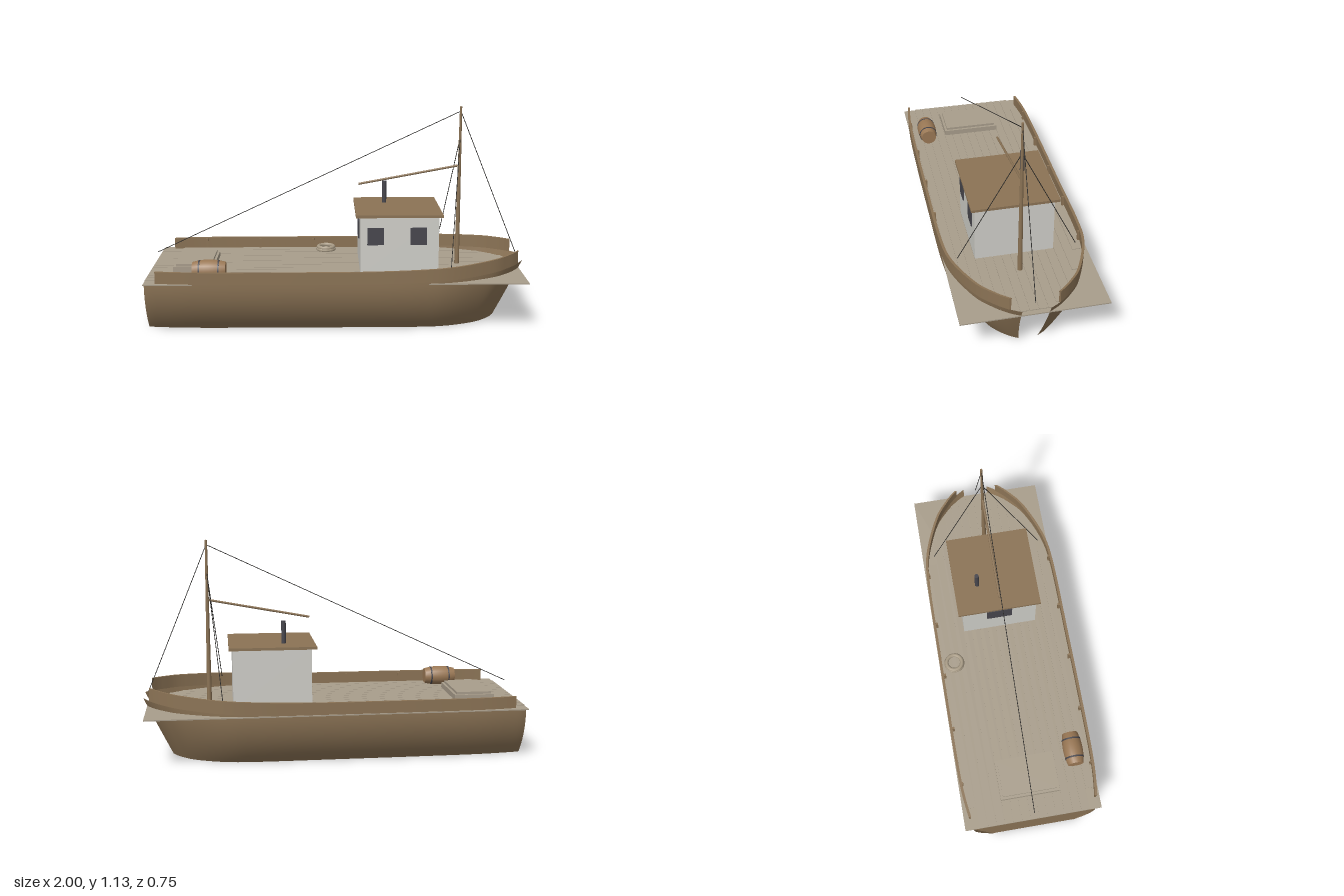
import * as THREE from 'three';
import { toCreasedNormals } from 'three/addons/utils/BufferGeometryUtils.js';

const DECK = 0.272;

function mat(name, color) {
  const m = new THREE.MeshStandardMaterial({ color, side: THREE.DoubleSide });
  m.name = name;
  return m;
}

// Skin a row of cross-sections; flip reverses the facing for the mirrored side
function loft(sections, closed, flip) {
  const n = sections[0].length, pos = [], idx = [];
  const tri = (a, b, c) => (flip ? idx.push(a, c, b) : idx.push(a, b, c));
  sections.forEach(s => s.forEach(p => pos.push(...p)));
  for (let i = 0; i < sections.length - 1; i++) {
    for (let j = 0; j < (closed ? n : n - 1); j++) {
      const k = (j + 1) % n, a = i * n + j, b = a + n, c = (i + 1) * n + k, d = i * n + k;
      tri(a, b, c);
      tri(a, c, d);
    }
  }
  if (closed) {
    const e = (sections.length - 1) * n;
    for (let j = 1; j < n - 1; j++) {
      tri(0, j, j + 1);
      tri(e, e + j + 1, e + j);
    }
  }
  const g = new THREE.BufferGeometry();
  g.setAttribute('position', new THREE.Float32BufferAttribute(pos, 3));
  g.setIndex(idx);
  g.computeVertexNormals();
  return closed ? toCreasedNormals(g, 0.6) : g;
}

// Half-breadth of the hull along its length
const plan = new THREE.SplineCurve([
  [-1, 0.33], [-0.94, 0.345], [-0.75, 0.365], [-0.4, 0.37], [0, 0.37], [0.4, 0.368],
  [0.6, 0.345], [0.8, 0.265], [0.9, 0.19], [0.96, 0.125], [0.995, 0.07],
].map(p => new THREE.Vector2(...p))).getPoints(80);

const sheer = x => DECK + 0.042 * Math.max(0, x) ** 2;
const railTop = x => sheer(x) + 0.062 + 0.006 * Math.max(0, x);

export function createModel() {
  const boat = new THREE.Group();
  boat.name = 'fishingBoat';
  const wood = mat('hullWood', 0x8b7355);
  const deckWood = mat('deckWood', 0xa89d8b);
  const paint = mat('cabinPaint', 0xd0cfc9);
  const dark = mat('darkMetal', 0x47464d);
  const oak = mat('barrelOak', 0x9a7855);
  const rope = mat('coiledRope', 0xa99c86);
  const line = mat('riggingLine', 0x2b2a28);

  const add = (name, geo, m, x = 0, y = 0, z = 0, parent = boat) => {
    const mesh = new THREE.Mesh(geo, m);
    mesh.name = name;
    mesh.position.set(x, y, z);
    parent.add(mesh);
    return mesh;
  };
  const box = (name, m, x0, x1, y0, y1, z0, z1) => add(name,
    new THREE.BoxGeometry(x1 - x0, y1 - y0, z1 - z0), m, (x0 + x1) / 2, (y0 + y1) / 2, (z0 + z1) / 2);
  // Round spar or line between two points
  const spar = (name, m, a, b, r0, r1, sides = 8) => {
    const p = new THREE.Vector3(...a), q = new THREE.Vector3(...b), d = q.clone().sub(p);
    const mesh = add(name, new THREE.CylinderGeometry(r1, r0, d.length(), sides), m);
    mesh.position.copy(p).add(q).multiplyScalar(0.5);
    mesh.quaternion.setFromUnitVectors(new THREE.Vector3(0, 1, 0), d.normalize());
  };

  for (const s of [1, -1]) {
    const side = s > 0 ? 'left' : 'right';
    // Hull side: round bilge, raked at the open bow
    const sections = plan.map(p => {
      const rake = 0.15 * Math.max(0, (p.x - 0.2) / 0.8) ** 2;
      return Array.from({ length: 15 }, (_, j) => {
        const v = j / 14;
        return [p.x - rake * (1 - v), sheer(p.x) * v, s * p.y * (1 - 0.31 * (1 - v) ** 2.2)];
      });
    });
    add(side + 'HullSide', loft(sections, false, s < 0), wood);

    // Bulwark and its cap rail
    const run = plan.filter(p => p.x > -0.945 && p.x < 0.965);
    const strip = (inner, outer, low, high) => loft(run.map(p => {
      const zo = s * (p.y + outer), zi = s * (p.y - inner), a = low(p.x), b = high(p.x);
      return [[p.x, a, zo], [p.x, b, zo], [p.x, b, zi], [p.x, a, zi]];
    }), true, s < 0);
    add(side + 'Bulwark', strip(0.009, 0, x => sheer(x) - 0.002, x => railTop(x) - 0.006), wood);
    add(side + 'CapRail', strip(0.012, 0.002, x => railTop(x) - 0.006, railTop), wood);

    // Bulwark posts
    for (let i = 0; i < 5; i++) {
      const x = -0.755 + i * 0.308;
      box(side + 'BulwarkPost', wood, x - 0.006, x + 0.006, DECK, DECK + 0.055, s * 0.354 - 0.007, s * 0.354 + 0.007);
    }
    spar(side + 'Shroud', line, [0.65, 0.97, 0], [0.58, 0.34, s * 0.305], 0.002, 0.002, 5);
  }

  // Flat transom
  const tr = new THREE.Shape([[-0.33, DECK], [-0.228, 0], [0.228, 0], [0.33, DECK]].map(p => new THREE.Vector2(...p)));
  add('transom', new THREE.ShapeGeometry(tr), wood, -0.999).rotation.y = -Math.PI / 2;

  // Deck plate and raised planks trimmed to the hull outline
  box('deck', deckWood, -1, 0.975, DECK - 0.006, DECK, -0.375, 0.365);
  for (let i = -7; i <= 7; i++) {
    const z = i * 0.046;
    const inside = plan.filter(p => p.y > Math.abs(z) + 0.03);
    const x0 = inside[0].x, x1 = Math.min(0.95, inside[inside.length - 1].x);
    box('deckPlank', deckWood, x0, x1, DECK, DECK + 0.004, z - 0.0215, z + 0.0215);
  }

  // Wheelhouse
  box('cabin', paint, 0.115, 0.525, DECK, 0.585, -0.205, 0.205);
  box('cabinRoof', wood, 0.09, 0.545, 0.583, 0.597, -0.228, 0.224);
  for (const x of [0.193, 0.418]) box('sideWindow', dark, x - 0.043, x + 0.043, 0.435, 0.527, 0.204, 0.211);
  box('aftWindow', dark, 0.108, 0.116, 0.435, 0.527, -0.07, 0.07);
  spar('chimney', dark, [0.255, 0.59, -0.1], [0.255, 0.716, -0.1], 0.012, 0.012, 16);

  // Mast, boom and stays
  spar('mast', wood, [0.65, DECK, 0], [0.65, 1.135, 0], 0.013, 0.006, 12);
  spar('boom', wood, [0.65, 0.82, 0], [0.11, 0.72, 0], 0.006, 0.006);
  spar('backstay', line, [0.65, 1.11, 0], [-0.98, 0.345, 0], 0.002, 0.002, 5);
  spar('forestay', line, [0.65, 1.11, 0], [0.97, 0.335, 0], 0.002, 0.002, 5);

  // Hatch with a slightly smaller lid
  box('hatchCoaming', deckWood, -0.875, -0.66, DECK, 0.305, -0.162, 0.157);
  box('hatchLid', deckWood, -0.862, -0.673, 0.305, 0.318, -0.149, 0.144);

  // Barrel lying fore and aft
  const barrel = new THREE.Group();
  barrel.name = 'barrel';
  barrel.position.set(-0.67, 0.322, 0.268);
  barrel.rotation.z = Math.PI / 2;
  boat.add(barrel);
  const radius = y => 0.054 - 0.012 * (y / 0.086) ** 2;
  const profile = [new THREE.Vector2(0, -0.086)];
  for (let i = 0; i <= 8; i++) {
    const y = -0.086 + i * 0.0215;
    profile.push(new THREE.Vector2(radius(y), y));
  }
  profile.push(new THREE.Vector2(0, 0.086));
  add('barrelBody', toCreasedNormals(new THREE.LatheGeometry(profile, 20), 0.7), oak, 0, 0, 0, barrel);
  for (const y of [-0.05, 0.05]) {
    const r = radius(y) + 0.0015;
    add('barrelHoop', new THREE.CylinderGeometry(r, r, 0.008, 20), dark, 0, y, 0, barrel);
  }

  // Coiled rope
  for (let i = 0; i < 2; i++) {
    add('ropeCoil', new THREE.TorusGeometry(0.046 - i * 0.003, 0.011, 8, 24), rope,
      -0.065, DECK + 0.01 + i * 0.012, -0.29).rotation.x = Math.PI / 2;
  }
  return boat;
}
